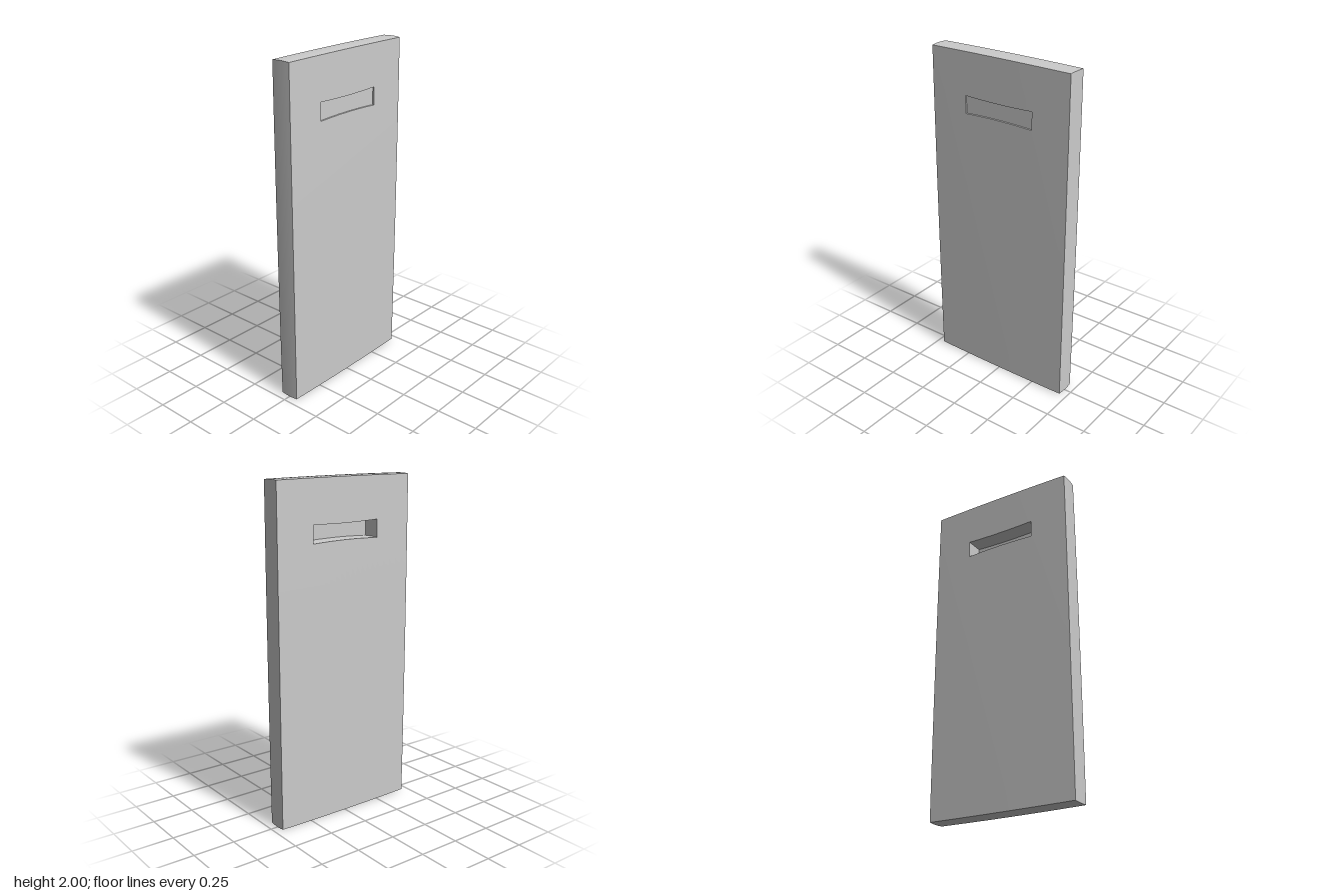
import * as THREE from 'three';
import { mergeGeometries } from 'three/addons/utils/BufferGeometryUtils.js';

// Slot limits as fractions of the half width / half height
const SLOT = { u: 0.49, v0: 0.645, v1: 0.75 };
const PINCH = 0.006;

const range = (a, b, n) => Array.from({ length: n + 1 }, (_, i) => (i === n ? b : a + ((b - a) * i) / n));
const bow = (t) => 1 - t * t;

// Maps (u, v, w) in [-1, 1] to a slightly pillowed slab, the slot narrowing at its middle
function slabPoint(u, v, w) {
  const x = u * (0.456 + 0.002 * bow(v) + 0.002 * bow(w));
  let y = 1 + v * (0.994 + 0.003 * bow(u) + 0.003 * bow(w));
  const z = w * (0.058 + 0.002 * bow(u) + 0.002 * bow(v));
  if (Math.abs(u) < SLOT.u) {
    if (v === SLOT.v0) y += PINCH * bow(u / SLOT.u);
    if (v === SLOT.v1) y -= PINCH * bow(u / SLOT.u);
  }
  return [x, y, z];
}

// Grid surface over two lists of parameters; faces along a x b, or opposite when flipped
function patch(as, bs, point, flip = false, skip = () => false) {
  const positions = [];
  const index = [];
  const n = bs.length;
  as.forEach((a) => bs.forEach((b) => positions.push(...point(a, b))));
  for (let i = 0; i < as.length - 1; i++) {
    for (let j = 0; j < n - 1; j++) {
      if (skip((as[i] + as[i + 1]) / 2, (bs[j] + bs[j + 1]) / 2)) continue;
      const p = i * n + j, q = p + n, r = q + 1, s = p + 1;
      index.push(...(flip ? [p, r, q, p, s, r] : [p, q, r, p, r, s]));
    }
  }
  const geometry = new THREE.BufferGeometry();
  geometry.setAttribute('position', new THREE.Float32BufferAttribute(positions, 3));
  geometry.setIndex(index);
  geometry.computeVertexNormals();
  return geometry;
}

// Four walls around a rectangle: outward for the slab rim, inward for a recess
function walls(us, vs, ws, inward) {
  const parts = [];
  for (const end of [0, 1]) {
    const flip = (end === 0) !== inward;
    const u = us[end * (us.length - 1)];
    const v = vs[end * (vs.length - 1)];
    parts.push(patch(vs, ws, (b, c) => slabPoint(u, b, c), flip));
    parts.push(patch(ws, us, (c, a) => slabPoint(a, v, c), flip));
  }
  return mergeGeometries(parts);
}

export function createModel() {
  const group = new THREE.Group();
  group.name = 'slottedBoard';
  const material = new THREE.MeshStandardMaterial({ color: 0xcccccc });
  const add = (name, geometry) => {
    const mesh = new THREE.Mesh(geometry, material);
    mesh.name = name;
    group.add(mesh);
  };

  const slotUs = range(-SLOT.u, SLOT.u, 12);
  const slotVs = [SLOT.v0, SLOT.v1];
  const us = [...range(-1, -SLOT.u, 5), ...slotUs.slice(1), ...range(SLOT.u, 1, 5).slice(1)];
  const vs = [...range(-1, SLOT.v0, 14), ...range(SLOT.v1, 1, 4)];
  const inSlot = (u, v) => Math.abs(u) < SLOT.u && v > SLOT.v0 && v < SLOT.v1;

  // Broad faces, each with the slot left open
  for (const [name, w] of [['frontFace', 1], ['backFace', -1]]) {
    add(name, patch(us, vs, (u, v) => slabPoint(u, v, w), w < 0, inSlot));
  }

  // Narrow outer sides
  add('rim', walls(us, vs, range(-1, 1, 6), false));

  // Shallow recess in front, deep pocket from the back, thin panel between them
  add('frontRecessWalls', walls(slotUs, slotVs, [0.85, 1], true));
  add('backPocketWalls', walls(slotUs, slotVs, range(-1, 0.75, 4), true));
  add('slotPanelFront', patch(slotUs, slotVs, (u, v) => slabPoint(u, v, 0.85)));
  add('slotPanelBack', patch(slotUs, slotVs, (u, v) => slabPoint(u, v, 0.75), true));

  return group;
}
